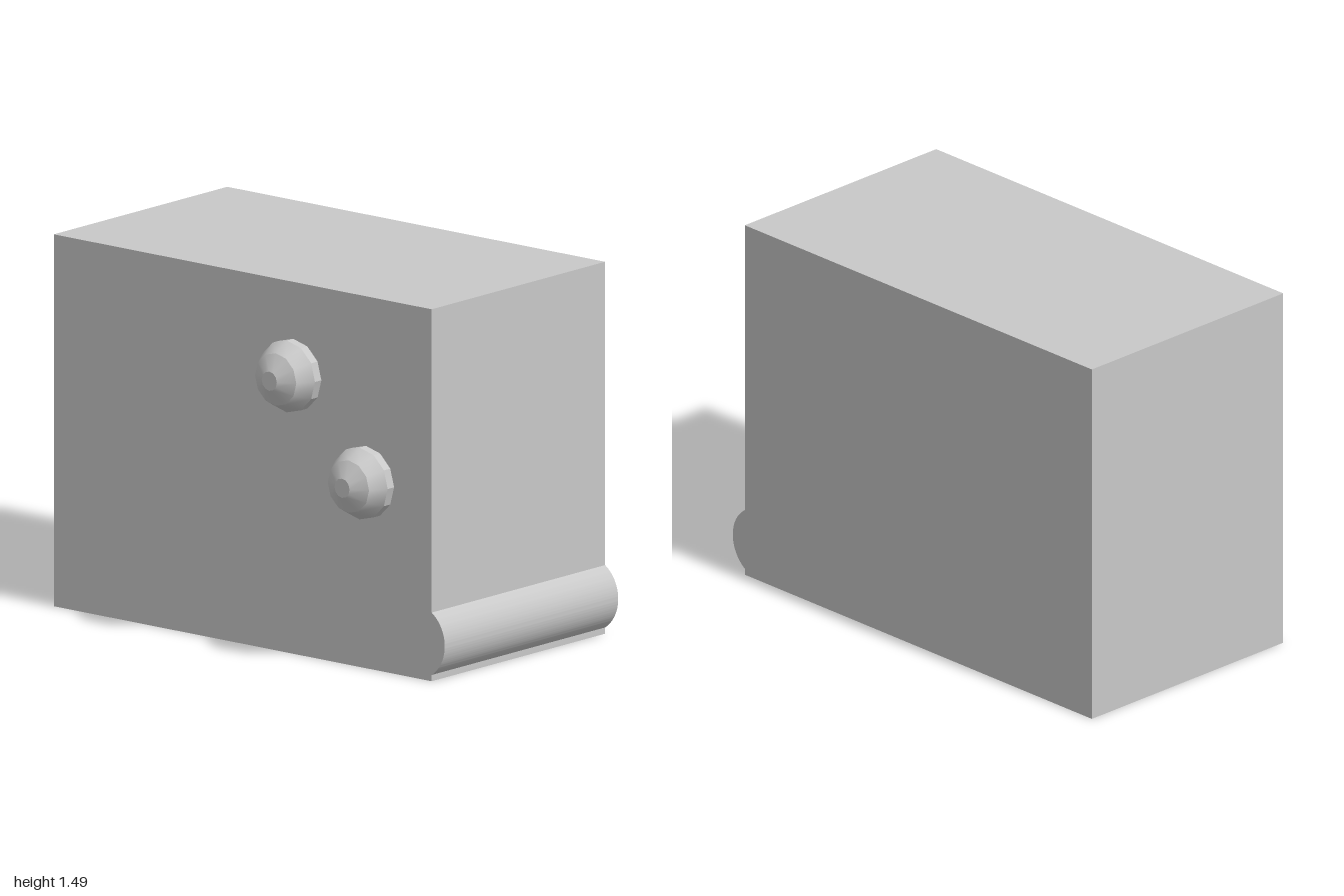
import * as THREE from 'three';
import { toCreasedNormals } from 'three/addons/utils/BufferGeometryUtils.js';

export function createModel() {
  const model = new THREE.Group();
  const grey = new THREE.MeshStandardMaterial({ color: 0xc8c8c8 });
  grey.name = 'light grey';

  const left = 0.593, right = -0.45, front = 0.933, back = -1, height = 1.49;
  const width = left - right;

  function add(name, geometry, x, y, z) {
    const mesh = new THREE.Mesh(geometry, grey);
    mesh.name = name;
    mesh.position.set(x, y, z);
    model.add(mesh);
  }

  // Main block
  add('body', new THREE.BoxGeometry(width, height, front - back),
    (left + right) / 2, height / 2, (front + back) / 2);

  // Rounded bar along the lower front edge: a circle segment extruded across x
  const barRadius = 0.15;
  const halfAngle = Math.acos((front - 0.85) / barRadius);
  const segment = new THREE.Shape();
  segment.absarc(0, 0, barRadius, -halfAngle, halfAngle, false);
  segment.closePath();
  const bar = new THREE.ExtrudeGeometry(segment, { depth: width, bevelEnabled: false, curveSegments: 40 });
  bar.rotateY(-Math.PI / 2);
  add('frontBar', toCreasedNormals(bar, 0.5), left, 0.15, 0.85);

  // Twelve-sided half-sphere knobs with a flat tip, pointing to -x
  const knobRadius = 0.149;
  const ring = (deg) => {
    const a = THREE.MathUtils.degToRad(deg);
    return new THREE.Vector2(knobRadius * Math.sin(a), knobRadius * Math.cos(a));
  };
  const profile = [new THREE.Vector2(ring(75).x, 0), ring(75), ring(45), ring(15), new THREE.Vector2(0, ring(15).y)];
  const knob = toCreasedNormals(new THREE.LatheGeometry(profile, 12).rotateZ(Math.PI / 2), 0.5);
  add('upperKnob', knob, right, 1.118, 0.225);
  add('lowerKnob', knob, right, 0.747, 0.597);

  return model;
}
